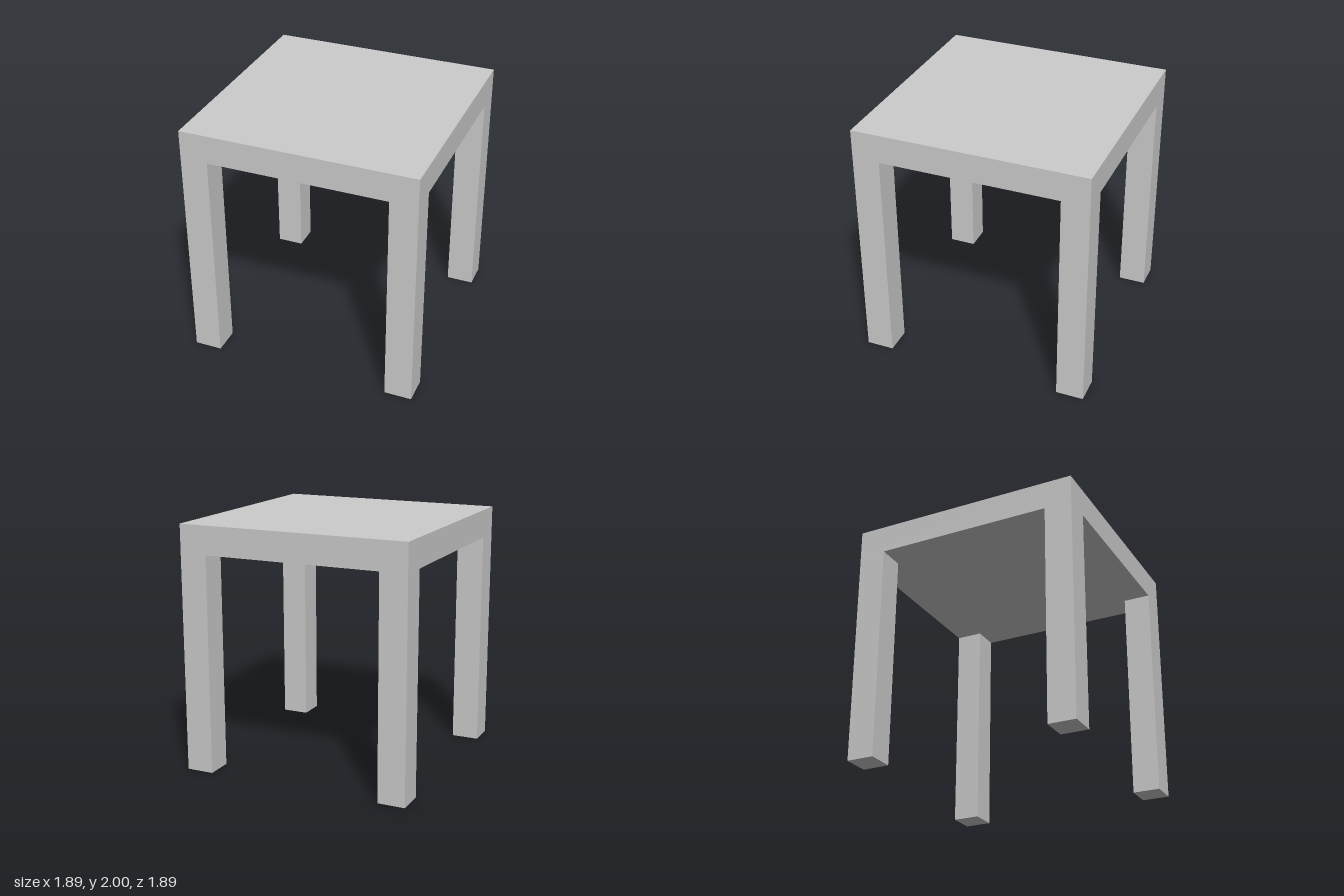
import * as THREE from 'three';

const WIDTH = 1.886;    // square footprint
const HEIGHT = 2;
const TOP = 0.23;       // tabletop thickness
const LEG = 0.222;      // square leg section

export function createModel() {
  const model = new THREE.Group();
  model.name = 'sideTable';
  const material = new THREE.MeshStandardMaterial({ color: 0xcccccc, flatShading: true });

  const addBox = (name, w, h, d, x, y, z) => {
    const mesh = new THREE.Mesh(new THREE.BoxGeometry(w, h, d), material);
    mesh.name = name;
    mesh.position.set(x, y, z);
    model.add(mesh);
  };

  // Thick square slab
  addBox('tabletop', WIDTH, TOP, WIDTH, 0, HEIGHT - TOP / 2, 0);

  // Four legs, flush with the corners of the slab
  const legHeight = HEIGHT - TOP;
  const offset = (WIDTH - LEG) / 2;
  for (const [side, sx] of [['Left', 1], ['Right', -1]]) {
    for (const [end, sz] of [['front', 1], ['back', -1]]) {
      addBox(`${end}${side}Leg`, LEG, legHeight, LEG, sx * offset, legHeight / 2, sz * offset);
    }
  }

  return model;
}
